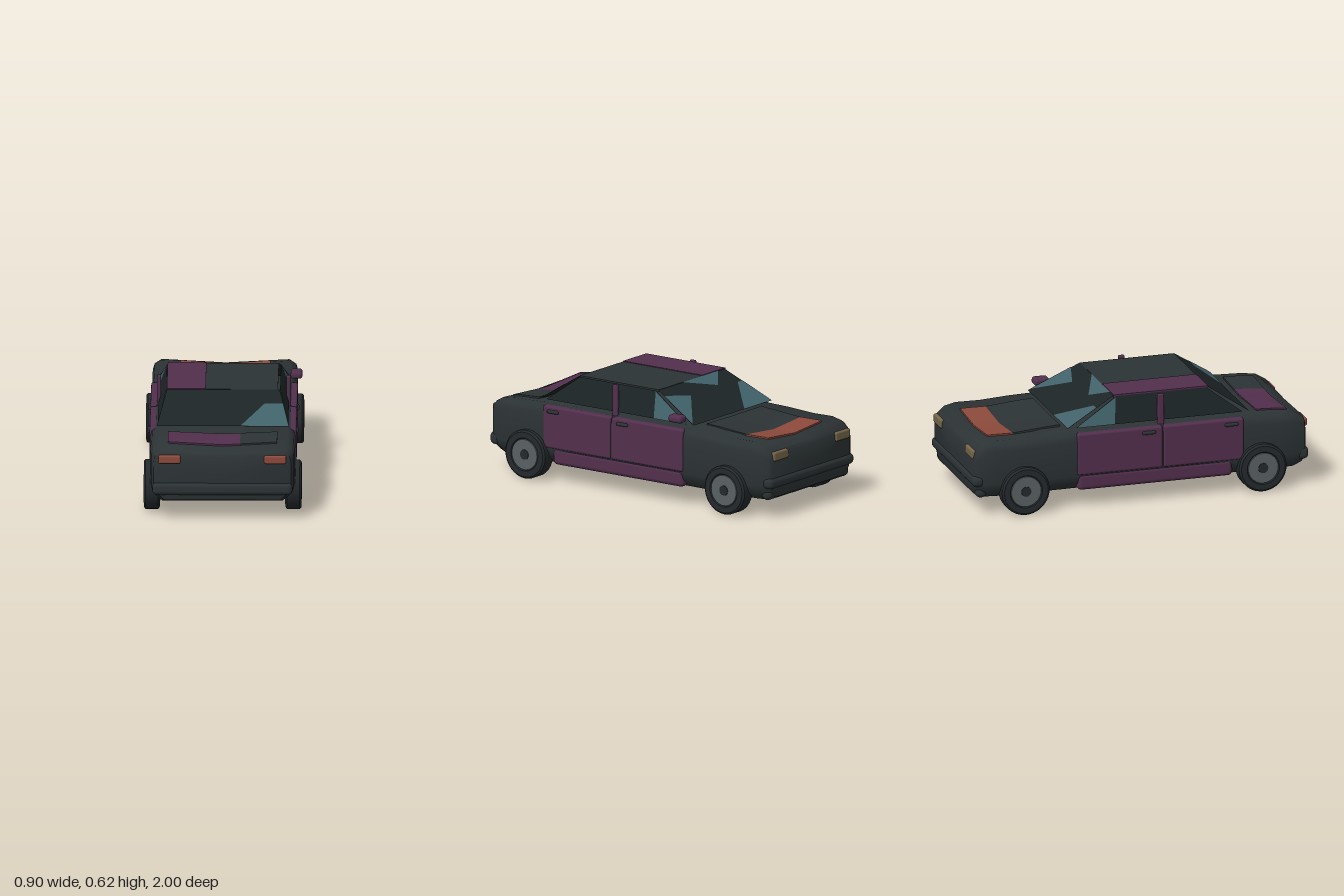
import * as THREE from 'three';
import { toCreasedNormals } from 'three/addons/utils/BufferGeometryUtils.js';
import { RoundedBoxGeometry } from 'three/addons/geometries/RoundedBoxGeometry.js';

const paint = (color) => new THREE.MeshStandardMaterial({ color, side: THREE.DoubleSide });
const M = {
  body: paint(0x2c3335), purple: paint(0x522f4d), glass: paint(0x1c2426), teal: paint(0x41626a),
  red: paint(0x8c4a3c), amber: paint(0x75664a), tyre: paint(0x24292c), hub: paint(0x5a6062),
};

// Body sections: z, half width, shoulder height, bottom, dip of the top at the centre
const SECTIONS = [
  [0.985, 0.37, 0.375, 0.15, 0.0], [0.975, 0.39, 0.40, 0.12, 0.01], [0.92, 0.405, 0.43, 0.102, 0.02],
  [0.84, 0.412, 0.44, 0.1, 0.022], [0.62, 0.412, 0.448, 0.1, 0.012], [0.4, 0.408, 0.448, 0.1, 0],
  [-0.4, 0.408, 0.45, 0.1, 0], [-0.55, 0.412, 0.445, 0.1, 0.015], [-0.72, 0.412, 0.435, 0.1, 0.03],
  [-0.86, 0.412, 0.437, 0.1, 0.03], [-0.93, 0.402, 0.425, 0.102, 0.02], [-0.975, 0.385, 0.395, 0.12, 0.005],
  [-0.988, 0.365, 0.37, 0.15, 0],
];

function bodyGeometry() {
  const pos = [], idx = [];
  for (const [z, w, t, b, dip] of SECTIONS) {
    const half = [[0.84 * w, b], [0.97 * w, b + 0.045], [w, b + 0.09], [w, t - 0.055],
      [0.975 * w, t - 0.02], [0.9 * w, t]];
    const ring = [...half, [0, t - dip], ...half.slice().reverse().map(([x, y]) => [-x, y])];
    ring.forEach(([x, y]) => pos.push(x, y, z));
  }
  const n = 13, last = (SECTIONS.length - 1) * n;
  for (let i = 0; i < SECTIONS.length - 1; i++) {
    for (let j = 0; j < n; j++) {
      const k = (j + 1) % n, a = i * n + j, b = i * n + k;
      idx.push(a, a + n, b, b, a + n, b + n);
    }
  }
  // End caps
  const c = pos.length / 3;
  pos.push(0, 0.26, SECTIONS[0][0], 0, 0.26, SECTIONS.at(-1)[0]);
  for (let j = 0; j < n; j++) {
    const k = (j + 1) % n;
    idx.push(c, j, k, c + 1, last + k, last + j);
  }
  const g = new THREE.BufferGeometry();
  g.setAttribute('position', new THREE.Float32BufferAttribute(pos, 3));
  g.setIndex(idx);
  return toCreasedNormals(g, 0.75);
}

// Height of the body's top surface
function topY(x, z) {
  let i = 0;
  while (i < SECTIONS.length - 2 && SECTIONS[i + 1][0] > z) i++;
  const p = SECTIONS[i], q = SECTIONS[i + 1], f = (p[0] - z) / (p[0] - q[0]);
  const [w, t, dip] = [1, 2, 4].map((k) => p[k] + (q[k] - p[k]) * f);
  return t - dip * (1 - Math.abs(x) / (0.9 * w));
}

// Flat convex polygon
function polygon(points) {
  const g = new THREE.BufferGeometry();
  g.setAttribute('position', new THREE.Float32BufferAttribute(points.flat(), 3));
  const idx = [];
  for (let i = 1; i < points.length - 1; i++) idx.push(0, i, i + 1);
  g.setIndex(idx);
  g.computeVertexNormals();
  return g;
}

export function createModel() {
  const car = new THREE.Group();
  car.name = 'car';
  const add = (name, geo, mat, x = 0, y = 0, z = 0, parent = car) => {
    const m = new THREE.Mesh(geo, mat);
    m.name = name;
    m.position.set(x, y, z);
    parent.add(m);
    return m;
  };
  // Rounded block given by its limits
  const block = (name, mat, x0, x1, y0, y1, z0, z1, r = 0.01) =>
    add(name, new RoundedBoxGeometry(x1 - x0, y1 - y0, z1 - z0, 3, r), mat,
      (x0 + x1) / 2, (y0 + y1) / 2, (z0 + z1) / 2);
  // Thin lid that follows the top of the body
  const lid = (name, mat, x0, x1, z0, z1) => {
    const g = new THREE.BoxGeometry(x1 - x0, 0.014, z1 - z0, 12, 1, 12);
    g.translate((x0 + x1) / 2, 0, (z0 + z1) / 2);
    const p = g.attributes.position;
    for (let i = 0; i < p.count; i++) p.setY(i, p.getY(i) + topY(p.getX(i), p.getZ(i)) + 0.002);
    g.computeVertexNormals();
    add(name, g, mat);
  };

  add('body', bodyGeometry(), M.body);

  // Hood and trunk lids
  lid('hood', M.body, -0.255, 0.255, -0.72, -0.44);
  lid('hoodStripe', M.red, -0.255, 0.255, -0.87, -0.72);
  lid('trunkLid', M.body, 0.1, 0.31, 0.71, 0.89);
  lid('trunkLidPanel', M.purple, -0.31, 0.1, 0.71, 0.89);

  // Roof
  add('roof', new THREE.BoxGeometry(0.41, 0.012, 0.56), M.body, 0.105, 0.613, 0.14);
  add('roofPanel', new THREE.BoxGeometry(0.22, 0.018, 0.56), M.purple, -0.21, 0.614, 0.14);

  // Front and rear glass, with tinted patches just above the surface
  const frontGlass = (x, z, lift = 0) => [x, 0.465 + (z + 0.43) * 0.152 / 0.29 + lift, z];
  const rearGlass = (x, z, lift = 0) => [x, 0.465 + (0.65 - z) * 0.152 / 0.23 + lift, z];
  const pane = (name, at, mat, lift, pts) => add(name, polygon(pts.map(([x, z]) => at(x, z, lift))), mat);
  pane('windshield', frontGlass, M.glass, 0, [[-0.37, -0.43], [-0.315, -0.14], [0.315, -0.14], [0.37, -0.43]]);
  pane('windshieldPatch', frontGlass, M.teal, 0.003, [[-0.368, -0.43], [-0.335, -0.25], [-0.29, -0.25], [-0.11, -0.43]]);
  pane('windshieldPatch', frontGlass, M.teal, 0.003, [[0.365, -0.42], [0.14, -0.24], [0.325, -0.19]]);
  pane('windshieldPatch', frontGlass, M.teal, 0.003, [[-0.25, -0.14], [0.09, -0.14], [-0.13, -0.23]]);
  pane('rearWindow', rearGlass, M.glass, 0, [[-0.375, 0.65], [0.375, 0.65], [0.32, 0.42], [-0.32, 0.42]]);
  pane('rearWindowPatch', rearGlass, M.teal, 0.003, [[0.1, 0.65], [0.372, 0.65], [0.34, 0.51], [0.235, 0.51]]);

  for (const s of [1, -1]) {
    const side = s > 0 ? 'left' : 'right';
    const sideBlock = (name, mat, x0, x1, ...rest) =>
      block(side + name, mat, Math.min(s * x0, s * x1), Math.max(s * x0, s * x1), ...rest);

    // Side windows
    const sideGlass = (z, y, lift) => [s * (0.37 - (y - 0.465) * 0.32 + lift), y, z];
    const sidePane = (name, mat, lift, pts) =>
      add(side + name, polygon(pts.map(([z, y]) => sideGlass(z, y, lift))), mat);
    sidePane('Window', M.glass, 0, [[0.61, 0.465], [-0.38, 0.465], [-0.13, 0.615], [0.41, 0.615]]);
    sidePane('WindowPatch', M.teal, 0.003, [[-0.15, 0.465], [-0.38, 0.465], [-0.13, 0.61]]);

    // Doors, sill, pillar and handles
    sideBlock('FrontDoor', M.purple, 0.37, 0.416, 0.195, 0.44, -0.385, 0.122, 0.012);
    sideBlock('RearDoor', M.purple, 0.37, 0.416, 0.195, 0.44, 0.128, 0.605, 0.012);
    sideBlock('Sill', M.purple, 0.34, 0.412, 0.102, 0.2, -0.38, 0.54, 0.025);
    sideBlock('Pillar', M.purple, 0.355, 0.378, 0.43, 0.62, 0.105, 0.142, 0.008);
    for (const z of [0.04, 0.53]) sideBlock('DoorHandle', M.body, 0.405, 0.428, 0.4, 0.42, z - 0.04, z + 0.04, 0.009);

    // Lamps
    sideBlock('TailLamp', M.red, 0.237, 0.362, 0.338, 0.385, 0.95, 0.999);
    sideBlock('HeadLamp', M.amber, 0.225, 0.36, 0.335, 0.388, -0.997, -0.95);

    // Wheels
    for (const z of [0.71, -0.7]) {
      const wheel = new THREE.Group();
      wheel.name = side + (z > 0 ? 'RearWheel' : 'FrontWheel');
      wheel.position.set(s * 0.401, 0.141, z);
      wheel.rotation.z = -s * Math.PI / 2;
      const profile = [[0, -0.046], [0.125, -0.046], [0.141, -0.036], [0.141, 0.036], [0.13, 0.046],
        [0.096, 0.046], [0.09, 0.04], [0, 0.04]].map(([r, y]) => new THREE.Vector2(r, y));
      add('tyre', toCreasedNormals(new THREE.LatheGeometry(profile, 40), 0.6), M.tyre, 0, 0, 0, wheel);
      add('rim', new THREE.CylinderGeometry(0.088, 0.09, 0.006, 40), M.hub, 0, 0.042, 0, wheel);
      add('hubCap', new THREE.CylinderGeometry(0.029, 0.03, 0.008, 24), M.tyre, 0, 0.044, 0, wheel);
      car.add(wheel);
    }
  }

  // Mirror on one side only
  block('mirror', M.purple, 0.375, 0.442, 0.48, 0.524, -0.39, -0.298, 0.018);

  // Bumpers
  block('rearBumper', M.body, -0.397, 0.397, 0.15, 0.225, 0.93, 1.0, 0.028);
  block('frontBumper', M.body, -0.4, 0.4, 0.175, 0.24, -1.0, -0.93, 0.028);
  block('frontLip', M.body, -0.385, 0.385, 0.105, 0.17, -0.975, -0.91, 0.03);
  return car;
}
